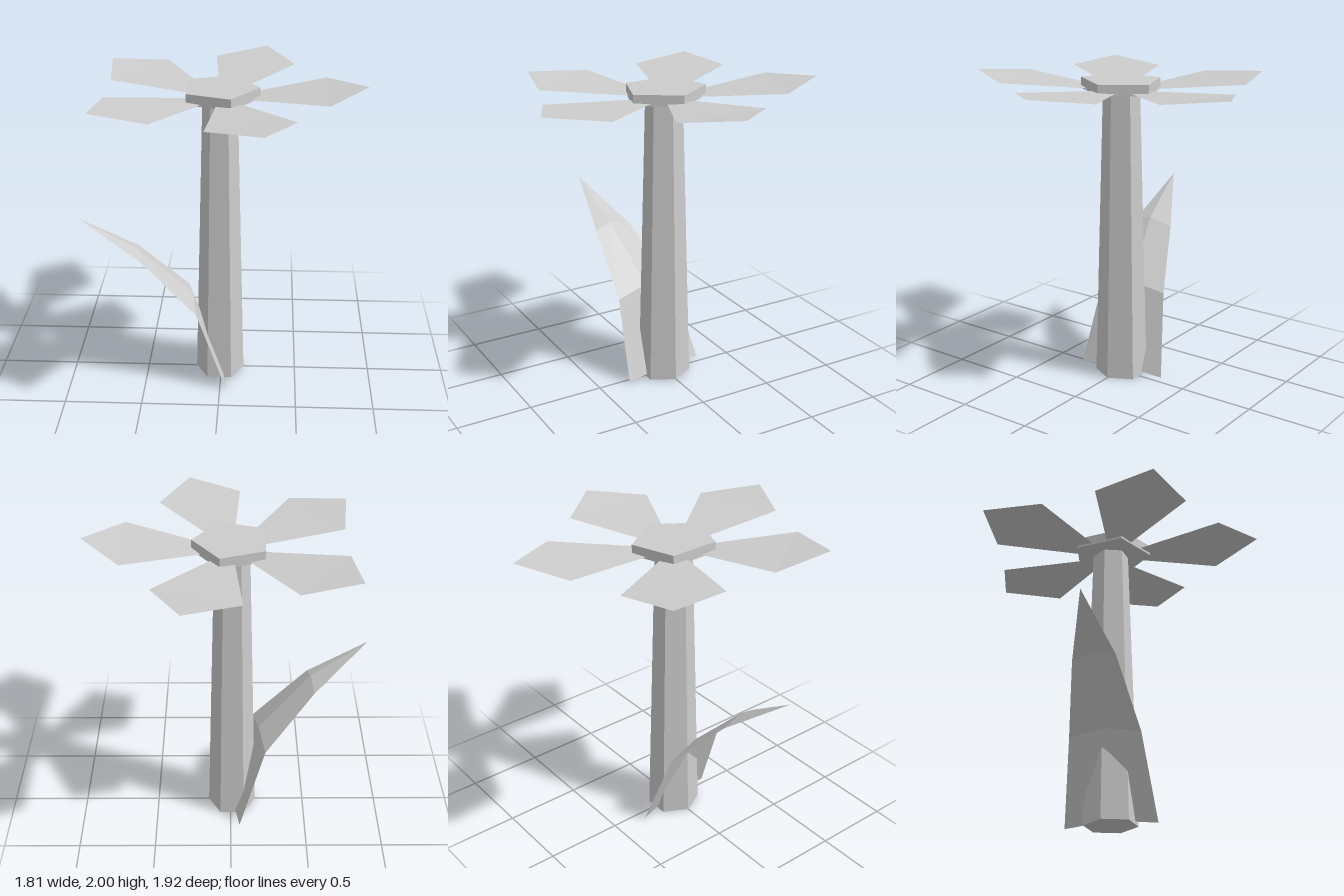
import * as THREE from 'three';

const DEPTH = 1.1; // the flower is slightly stretched front to back
const CENTRE_X = -0.01;

const grey = new THREE.MeshStandardMaterial({ color: 0xcccccc });
grey.name = 'plain grey';
grey.side = THREE.DoubleSide;
grey.flatShading = true;

function addMesh(parent, name, geometry) {
  const mesh = new THREE.Mesh(geometry, grey);
  mesh.name = name;
  parent.add(mesh);
  return mesh;
}

// Flat-shaded sheet from a list of corners and triangle indices
function sheet(points, faces) {
  const indexed = new THREE.BufferGeometry();
  indexed.setAttribute('position', new THREE.Float32BufferAttribute(points.flat(), 3));
  indexed.setIndex(faces.flat());
  const geometry = indexed.toNonIndexed();
  geometry.computeVertexNormals();
  return geometry;
}

// Prism with one corner pointing along +x
function prism(rTop, rBottom, y0, y1, sides) {
  return new THREE.CylinderGeometry(rTop, rBottom, y1 - y0, sides, 1, false, Math.PI / 2)
    .scale(1, 1, DEPTH)
    .translate(CENTRE_X, (y0 + y1) / 2, 0);
}

export function createModel() {
  const model = new THREE.Group();
  model.name = 'flower';

  // Tapered six-sided stem and five-sided flower centre
  addMesh(model, 'stem', prism(0.11, 0.16, 0, 1.93, 6));
  addMesh(model, 'flowerCentre', prism(0.249, 0.249, 1.92, 1.99, 5));

  // Five kite-shaped petals, bent up across their widest line
  const petals = new THREE.Group();
  petals.name = 'petals';
  model.add(petals);
  const kite = [[0, 1.918, 0], [0.669, 1.97, 0.277], [0.919, 2, 0], [0.669, 1.97, -0.277]];
  for (let i = 0; i < 5; i++) {
    const geometry = sheet(kite, [[0, 1, 3], [1, 2, 3]])
      .rotateY((i * Math.PI * 2) / 5)
      .scale(1, 1, DEPTH)
      .translate(CENTRE_X, 0, 0);
    geometry.computeVertexNormals();
    addMesh(petals, 'petal', geometry);
  }

  // Folded leaf: rows of front edge, ridge, back edge, closing to a tip
  const rows = [
    [[0.04, 0, 0.295], [0, 0.04, 0], [-0.06, 0, -0.29]],
    [[-0.155, 0.53, 0.265], [-0.19, 0.58, 0.04], [-0.23, 0.53, -0.19]],
    [[-0.515, 0.9, 0.245], [-0.535, 0.935, 0.13], [-0.55, 0.89, -0.03]],
  ];
  const tip = [-0.905, 1.165, 0.18];
  const faces = [];
  for (let r = 0; r < 2; r++) {
    for (let c = 0; c < 2; c++) {
      const a = r * 3 + c;
      faces.push([a, a + 1, a + 4], [a, a + 4, a + 3]);
    }
  }
  faces.push([6, 7, 9], [7, 8, 9]);
  addMesh(model, 'leaf', sheet([...rows.flat(), tip], faces));

  return model;
}
